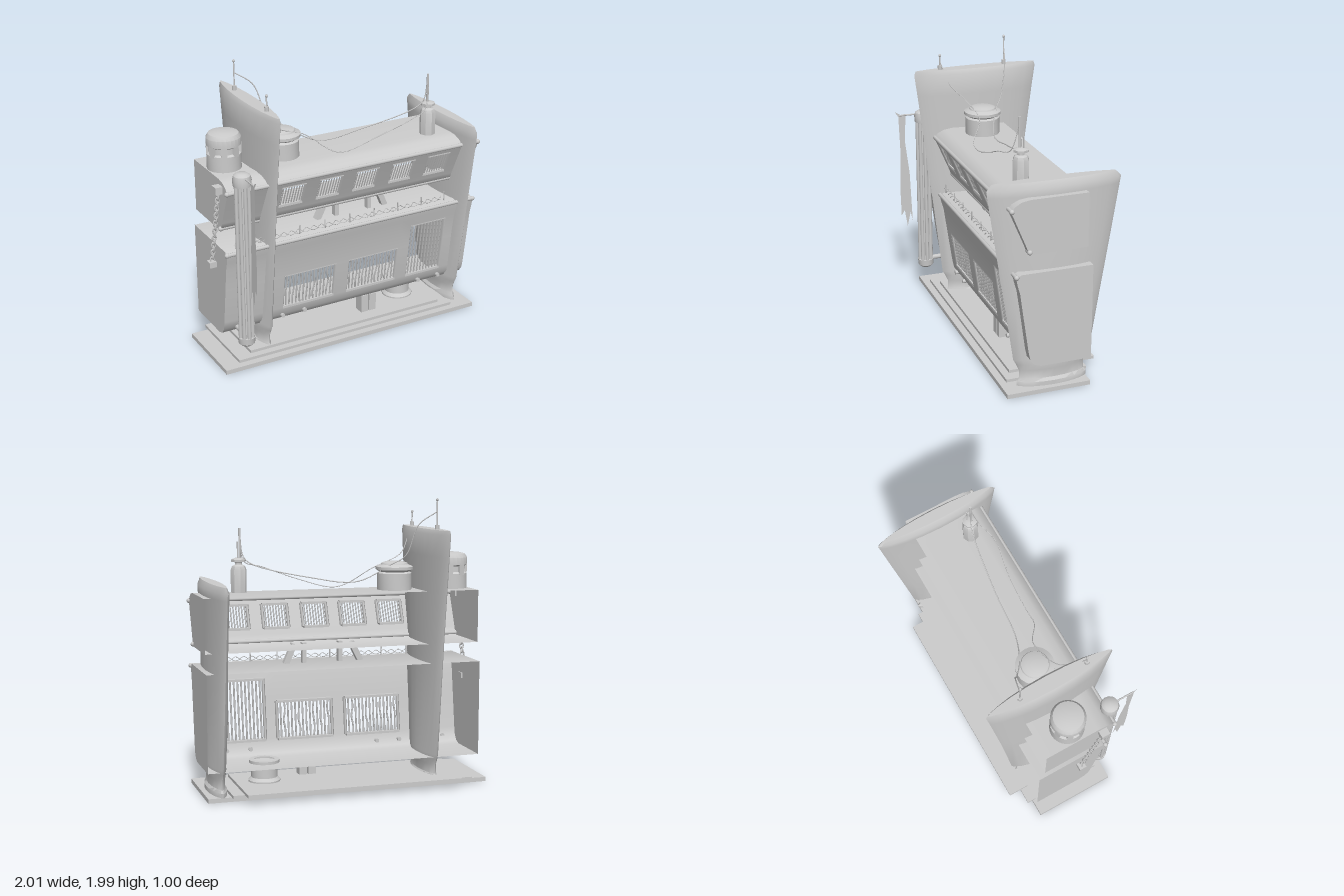
import * as THREE from 'three';
import { toCreasedNormals } from 'three/addons/utils/BufferGeometryUtils.js';

const grey = new THREE.MeshStandardMaterial({ color: 0xcccccc });
const sheet = new THREE.MeshStandardMaterial({ color: 0xcccccc, side: THREE.DoubleSide });
const V = (x, y, z) => new THREE.Vector3(x, y, z);

export function createModel() {
  const model = new THREE.Group();

  function add(name, geo, pos = [0, 0, 0], mat = grey) {
    const m = new THREE.Mesh(geo, mat);
    m.name = name;
    m.position.set(...pos);
    model.add(m);
    return m;
  }
  const box = (name, x0, x1, y0, y1, z0, z1) =>
    add(name, new THREE.BoxGeometry(x1 - x0, y1 - y0, z1 - z0), [(x0 + x1) / 2, (y0 + y1) / 2, (z0 + z1) / 2]);
  // solid of revolution from [radius, y] pairs
  const lathe = (name, x, z, pts, sides = 24) =>
    add(name, toCreasedNormals(new THREE.LatheGeometry(pts.map(p => new THREE.Vector2(...p)), sides), 0.6), [x, 0, z], sheet);
  const wire = (name, pts, r, seg = 40, sides = 5) =>
    add(name, new THREE.TubeGeometry(new THREE.CatmullRomCurve3(pts.map(p => V(...p))), seg, r, sides));
  // straight rod between two points
  function rod(name, a, b, r, sides = 8) {
    const p = V(...a), d = V(...b).sub(p);
    const m = add(name, new THREE.CylinderGeometry(r, r, d.length(), sides));
    m.position.copy(p).addScaledVector(d, 0.5);
    m.quaternion.setFromUnitVectors(V(0, 1, 0), d.normalize());
    return m;
  }

  // Stepped base
  box('basePlate', -1, 0.99, 0, 0.03, -0.28, 0.3);
  box('baseStep', -0.88, 0.83, 0.03, 0.05, -0.32, 0.25);
  box('baseTopStep', -0.77, 0.75, 0.05, 0.07, -0.41, 0.2);

  // Hull shell: a [z, y] profile swept along x, open at the back, windows left out
  const X0 = -0.94, X1 = 0.99;
  function hull(name, path, windows) {
    const xs = [...new Set([X0, X1, ...windows.flatMap(w => [w[0], w[1]])])].sort((a, b) => a - b);
    const pos = [], idx = [];
    for (const [z, y] of path) for (const x of xs) pos.push(x, y, z);
    for (let i = 0; i < path.length - 1; i++) for (let j = 0; j < xs.length - 1; j++) {
      const y = (path[i][1] + path[i + 1][1]) / 2, x = (xs[j] + xs[j + 1]) / 2;
      if (windows.some(w => x > w[0] && x < w[1] && y > w[2] && y < w[3])) continue;
      const a = i * xs.length + j, d = a + xs.length;
      idx.push(a, d, d + 1, a, d + 1, a + 1);
    }
    const g = new THREE.BufferGeometry();
    g.setAttribute('position', new THREE.Float32BufferAttribute(pos, 3));
    g.setIndex(idx);
    add(name, toCreasedNormals(g, 0.7), [0, 0, 0], sheet);
    const end = new THREE.ShapeGeometry(new THREE.Shape(path.map(p => new THREE.Vector2(...p)))).rotateY(-Math.PI / 2);
    for (const x of [X0, X1]) add(name + 'End', end, [x, 0, 0], sheet);
  }
  // Frame and bars of one window; zAt gives the wall depth at a height
  function grille([x0, x1, y0, y1], zAt, step, r, bent) {
    const zb = zAt(y0), zt = zAt(y1), n = Math.round((x1 - x0) / step);
    for (const x of [x0, x1]) rod('windowPost', [x, y0, zb - 0.012], [x, y1, zt - 0.012], 0.012, 4);
    for (const [y, z] of [[y0, zb], [y1, zt]]) box('windowRail', x0, x1, y - 0.008, y + 0.008, z - 0.035, z);
    for (let i = 1; i < n; i++) {
      const x = x0 + i * (x1 - x0) / n;
      const s = bent && i % 2 ? 0.007 * Math.sin(i * 2.3) : 0;
      if (s) wire('bentBar', [0, 0.25, 0.5, 0.75, 1].map(t =>
        [x + s * Math.sin(t * 9 + i), y0 + t * (y1 - y0), zb + t * (zt - zb) - 0.015]), r, 10, 4);
      else rod('windowBar', [x, y0, zb - 0.015], [x, y1, zt - 0.015], r, 4);
    }
  }

  // Upper deck with five windows
  const upperWin = [-0.54, -0.26, 0.02, 0.305, 0.59].map(x => [x, x + 0.18, 1.09, 1.25]);
  hull('upperDeck', [[-0.24, 1.355], [0.15, 1.355], [0.21, 1.345], [0.255, 1.32], [0.28, 1.285],
    [0.264, 1.25], [0.197, 1.09], [0.18, 1.05], [0.165, 1.01], [0.14, 0.99], [-0.24, 0.99]], upperWin);
  upperWin.forEach(w => grille(w, y => 0.197 + (y - 1.09) * 0.42, 0.02, 0.005, false));

  // Lower deck with two low windows and one tall one
  const lowerWin = [[-0.5, -0.1, 0.31, 0.57], [0, 0.4, 0.31, 0.57], [0.49, 0.78, 0.31, 0.73]];
  hull('lowerDeck', [[-0.28, 0.86], [0.21, 0.86], [0.245, 0.84], [0.235, 0.79], [0.218, 0.73], [0.195, 0.57],
    [0.157, 0.31], [0.145, 0.255], [0.115, 0.215], [0.07, 0.2], [-0.28, 0.2]], lowerWin);
  lowerWin.forEach((w, i) => grille(w, y => 0.157 + (y - 0.31) * 0.145, 0.026, 0.0065, i < 2));

  // Edge rails with rounded ends
  for (const [y, z] of [[1.29, 0.275], [1.005, 0.155], [0.845, 0.242]]) {
    rod('edgeRail', [X0, y, z], [X1, y, z], 0.014);
    for (const x of [X0, X1]) add('railKnob', new THREE.SphereGeometry(0.017, 10, 8), [x, y, z]);
  }

  // Fins: pointed oval sections [y, front z, back z, half thickness]
  function fin(name, x, levels) {
    const N = 20, pos = [], idx = [];
    for (const [y, zf, zb, t] of levels) for (let i = 0; i < N; i++) {
      const a = i / N * Math.PI * 2, s = Math.sin(a);
      pos.push(t * s * Math.abs(s) ** 0.4, y, (zf + zb) / 2 + (zf - zb) / 2 * Math.cos(a));
    }
    for (let l = 0; l < levels.length - 1; l++) for (let i = 0; i < N; i++) {
      const a = l * N + i, b = l * N + (i + 1) % N;
      idx.push(a, b, b + N, a, b + N, a + N);
    }
    const top = (levels.length - 1) * N;
    for (let i = 1; i < N - 1; i++) idx.push(top, top + i, top + i + 1, 0, i + 1, i);
    const g = new THREE.BufferGeometry();
    g.setAttribute('position', new THREE.Float32BufferAttribute(pos, 3));
    g.setIndex(idx);
    add(name, toCreasedNormals(g, 0.6), [x, 0, 0]);
  }
  const foot = [[0.03, 0.2, -0.29, 0.065], [0.06, 0.2, -0.29, 0.065], [0.08, 0.185, -0.27, 0.05],
    [0.14, 0.185, -0.27, 0.05], [0.185, 0.205, -0.29, 0.062]];
  fin('tallFin', -0.62, [...foot, [0.22, 0.225, -0.31, 0.055], [1, 0.315, -0.4, 0.058],
    [1.6, 0.39, -0.478, 0.068], [1.75, 0.41, -0.5, 0.068], [1.78, 0.4, -0.49, 0.05]]);
  fin('shortFin', 0.89, [...foot, [0.22, 0.225, -0.31, 0.055], [0.6, 0.283, -0.37, 0.07],
    [1, 0.345, -0.435, 0.06], [1.36, 0.4, -0.492, 0.064], [1.405, 0.405, -0.5, 0.064], [1.445, 0.375, -0.46, 0.04]]);

  // Supports between the decks
  for (const [xb, xt, w] of [[-0.17, -0.1, 0.04], [-0.02, -0.02, 0.03], [0.24, 0.24, 0.03], [0.37, 0.31, 0.04]]) {
    const m = box('deckStrut', -w / 2, w / 2, 0.85, 1.0, 0.02, 0.06);
    m.position.x = (xb + xt) / 2;
    m.rotation.z = Math.atan2(xb - xt, 0.14);
  }

  // Coiled wire along the lower deck edge
  for (const ph of [0, Math.PI]) wire('coiledWire', Array.from({ length: 77 }, (_, i) =>
    [-0.77 + i * 0.02, 0.882 + 0.014 * Math.sin(i * 1.1 + ph), 0.2 + 0.014 * Math.cos(i * 1.1 + ph)]), 0.0025, 230, 4);
  for (let i = 0; i < 9; i++) rod('wirePost', [-0.77 + i * 0.193, 0.85, 0.2], [-0.77 + i * 0.193, 0.925, 0.2], 0.005, 5);

  // Bolts under the lower windows
  for (const x of [-0.73, -0.5, -0.33, 0.6, 0.77]) rod('bolt', [x, 0.25, 0.12], [x, 0.25, 0.165], 0.015, 8);

  // Underside fittings
  for (const x of [0.16, 0.225]) box('undersideBlock', x, x + 0.055, 0.07, 0.2, 0.02, 0.1);
  lathe('undersidePipe', 0.55, -0.05, [[0.11, 0.07], [0.11, 0.08], [0.09, 0.1], [0.09, 0.18], [0.105, 0.2], [0.105, 0.22], [0.07, 0.22]]);

  // Fluted pillar with domed ends
  const PX = -0.84, PZ = 0.29;
  lathe('pillarCore', PX, PZ, [[0.042, 0.24], [0.042, 1.36]], 12);
  for (let i = 0; i < 8; i++) {
    const a = i / 8 * Math.PI * 2, x = PX + 0.044 * Math.sin(a), z = PZ + 0.044 * Math.cos(a);
    rod('pillarFlute', [x, 0.24, z], [x, 1.36, z], 0.013);
  }
  lathe('pillarTopCap', PX, PZ, [[0, 1.34], [0.06, 1.34], [0.063, 1.38], [0.056, 1.41], [0.035, 1.425], [0, 1.427]], 16);
  lathe('pillarBottomCap', PX, PZ, [[0, 0.187], [0.04, 0.19], [0.056, 0.205], [0.06, 0.25], [0, 0.25]], 16);
  for (const y of [0.25, 0.845, 1.3]) rod('pillarBracket', [PX, y, 0.14], [PX, y, PZ], 0.018);

  // Tattered banner hanging in front of the pillar
  const cloth = [[0.475, 1.39], [0.5, 1.43], [0.46, 1.405], [0.42, 1.41], [0.43, 1.2], [0.4, 0.95], [0.385, 0.57],
    [0.4, 0.64], [0.425, 0.53], [0.445, 0.66], [0.47, 0.62], [0.475, 0.85], [0.465, 1.1]];
  add('banner', new THREE.ShapeGeometry(new THREE.Shape(cloth.map(p => new THREE.Vector2(...p)))).rotateY(-Math.PI / 2),
    [PX, 0, 0], sheet);
  rod('bannerRod', [PX, 1.4, 0.3], [PX, 1.4, 0.47], 0.006, 6);

  // Chain on the end wall
  box('chainTopBracket', -0.99, -0.93, 1.27, 1.32, 0.15, 0.21);
  box('chainBottomBracket', -0.99, -0.93, 0.69, 0.73, 0.02, 0.07);
  for (let i = 0; i < 19; i++) {
    const t = i / 18;
    const m = add('chainLink', new THREE.TorusGeometry(0.014, 0.005, 5, 10), [-0.96, 1.27 - 0.53 * t, 0.18 - 0.135 * t]);
    m.scale.y = 1.5;
    m.rotation.y = (i % 2) * Math.PI / 2;
  }

  // Ribbed canister
  lathe('canister', -0.82, -0.02, [[0.115, 1.35], [0.115, 1.46], [0.1, 1.47], [0.1, 1.51], [0.116, 1.52],
    [0.116, 1.57], [0.1, 1.595], [0.06, 1.605], [0, 1.607]]);
  for (let i = 0; i < 8; i++) {
    const a = (i + 0.5) / 8 * Math.PI * 2, m = box('canisterRib', -0.02, 0.02, 1.45, 1.53, -0.01, 0.01);
    m.position.x = -0.82 + 0.105 * Math.sin(a);
    m.position.z = -0.02 + 0.105 * Math.cos(a);
    m.rotation.y = a;
  }

  // Roof hatch
  lathe('hatch', -0.4, -0.02, [[0.12, 1.35], [0.12, 1.47], [0.105, 1.48], [0.13, 1.495], [0.13, 1.515],
    [0.095, 1.53], [0.09, 1.54], [0.06, 1.55], [0, 1.553]], 20);

  // Insulator with short aerials
  lathe('insulator', 0.68, 0.1, [[0.055, 1.35], [0.055, 1.51], [0.045, 1.535], [0.025, 1.545], [0.025, 1.56],
    [0.05, 1.565], [0.05, 1.58], [0.025, 1.59], [0, 1.59]], 8);
  rod('aerial', [0.67, 1.57, 0.105], [0.67, 1.79, 0.105], 0.008);
  rod('aerialStub', [0.69, 1.57, 0.085], [0.69, 1.7, 0.085], 0.004);

  // Aerials on the tall fin
  for (const [z, top] of [[-0.26, 1.99], [0.22, 1.89]]) {
    rod('finAerial', [-0.62, 1.77, z], [-0.62, top, z], 0.005);
    rod('finAerialSocket', [-0.62, 1.77, z], [-0.62, 1.81, z], 0.016);
    add('finAerialTip', new THREE.SphereGeometry(0.01, 8, 6), [-0.62, top - 0.01, z]);
  }

  // Slack cables
  wire('rearCable', [[-0.62, 1.9, -0.26], [-0.5, 1.81, -0.225], [-0.43, 1.6, -0.17], [-0.34, 1.53, -0.1], [-0.13, 1.415, -0.01],
    [0.2, 1.45, 0.02], [0.6, 1.55, 0.075], [0.65, 1.6, 0.09], [0.67, 1.77, 0.105]], 0.004, 60);
  wire('frontCable', [[-0.62, 1.84, 0.22], [-0.56, 1.68, 0.17], [-0.48, 1.59, 0.09], [-0.26, 1.5, 0.05], [-0.1, 1.385, 0.15],
    [0, 1.365, 0.155], [0.25, 1.43, 0.16], [0.5, 1.52, 0.19], [0.63, 1.56, 0.15], [0.67, 1.74, 0.105]], 0.003, 60);

  return model;
}
